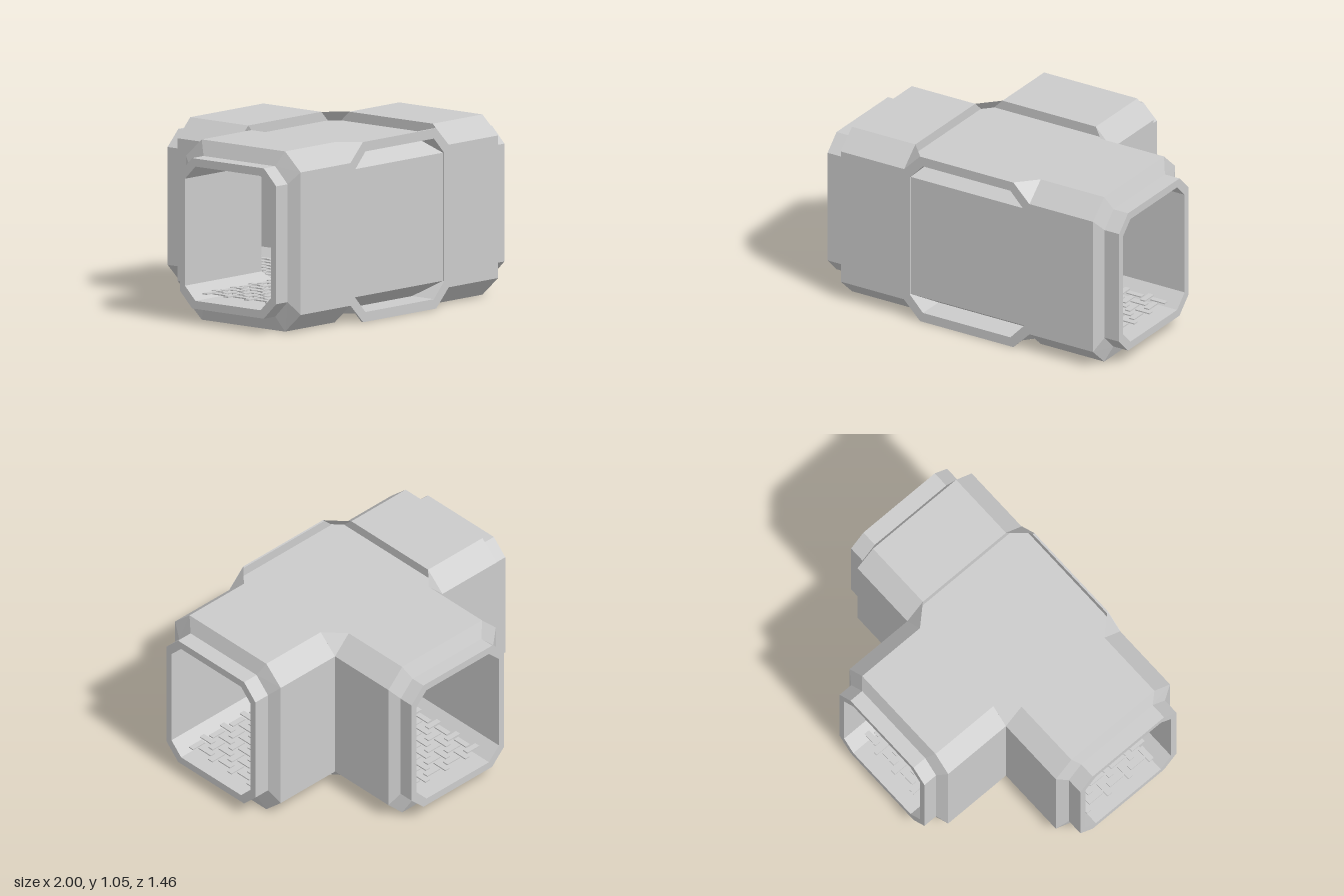
import * as THREE from 'three';
import { mergeGeometries } from 'three/addons/utils/BufferGeometryUtils.js';

const mat = new THREE.MeshStandardMaterial({ color: 0xcccccc, flatShading: true });
const thinMat = new THREE.MeshStandardMaterial({ color: 0xcccccc, flatShading: true, side: THREE.DoubleSide });
const H = 0.5275; // half height of the body, also the height of its centre
const CORE = 0.47; // half height of the sunken hub core
const LINING = 0.393; // half height of the inner passage

function mesh(name, geometry, material = mat) {
  const m = new THREE.Mesh(geometry, material);
  m.name = name;
  return m;
}

// Flat-shaded geometry from convex polygons of [x, y, z] corners
function faceted(faces) {
  const pos = [];
  for (const f of faces)
    for (let i = 1; i < f.length - 1; i++) pos.push(...f[0], ...f[i], ...f[i + 1]);
  const g = new THREE.BufferGeometry();
  g.setAttribute('position', new THREE.Float32BufferAttribute(pos, 3));
  g.computeVertexNormals();
  return g;
}

// Turn a polygon to face away from the hub centre (sign 1) or towards it (-1)
function orient(face, sign = 1) {
  const [a, b, c] = face.slice(0, 3).map((p) => new THREE.Vector3(...p));
  const n = b.clone().sub(a).cross(c.clone().sub(a));
  return n.dot(a) * sign < 0 ? [...face].reverse() : face;
}

// Chamfered rectangle as [v, u] corners
function octagon(hw, hh, cu, cv) {
  const a = hw - cu, b = hh - cv;
  return [[hh, -a], [hh, a], [b, hw], [-b, hw], [-hh, a], [-hh, -a], [-b, -hw], [b, -hw]];
}

// One corridor arm along local +x: outer shell, stepped collar, then the lining
// running back to the hub, where innerEnd(u) gives the mitre depth.
function arm(name, [root, shoulder, collar, end], hw, cu, innerEnd) {
  const rim = octagon(0.37, 0.44, 0.095, 0.095);
  const lining = octagon(0.33, LINING, 0.08, 0.08);
  const body = octagon(hw, H, cu, 0.11);
  const at = (ring, x) => ring.map(([v, u]) => [x, v, u]);
  const rings = [
    at(body, root), at(body, shoulder), at(rim, collar), at(rim, end),
    at(lining, end), lining.map(([v, u]) => [innerEnd(u), v, u]),
  ];
  const faces = [];
  for (let s = 0; s < rings.length - 1; s++)
    for (let i = 0; i < 8; i++) {
      const j = (i + 1) % 8;
      faces.push([rings[s][i], rings[s][j], rings[s + 1][j], rings[s + 1][i]]);
    }
  return mesh(name, faceted(faces));
}

// Sunken top and bottom plates, the steps up to the arms, and corner facets
function hubCore() {
  const faces = [];
  for (const sy of [1, -1]) {
    const y = sy * H, yc = sy * CORE;
    faces.push(orient(octagon(0.44, 0.43, 0.06, 0.055).map(([x, z]) => [x, yc, z])));
    // Steps at the side arms and the rear arm
    for (const x of [0.43, -0.43])
      faces.push(orient([[x, y, -0.32], [x, y, 0.32], [x, yc, 0.383], [x, yc, -0.383]], -1));
    faces.push(orient([[-0.32, y, -0.44], [0.32, y, -0.44], [0.378, yc, -0.44], [-0.378, yc, -0.44]], -1));
    // Corner facets: full height on top, cut off at the core plate below
    const k = sy > 0 ? 0 : 0.0575;
    for (const sx of [1, -1])
      for (const sz of [1, -1])
        faces.push(orient([
          [sx * 0.43, y - sy * k, sz * (0.32 + k)],
          [sx * (0.32 + k), y - sy * k, sz * 0.44],
          [sx * 0.43, sy * (H - 0.11), sz * 0.44],
        ]));
    // Piece of inner ceiling and floor between the mitred linings
    const yi = sy * LINING;
    faces.push(orient([[0, yi, 0.25], [0.25, yi, -0.25], [-0.25, yi, -0.25]], -1));
  }
  return mesh('hubCore', faceted(faces), thinMat);
}

// Thin octagonal frame on the closed front side
function frontFrame() {
  const path = (o) => o.map(([y, x]) => new THREE.Vector2(x, y));
  const shape = new THREE.Shape(path(octagon(0.43, H, 0.11, 0.11)));
  shape.holes.push(new THREE.Path(path(octagon(0.39, CORE, 0.09, 0.095)).reverse()));
  const g = new THREE.ExtrudeGeometry(shape, { depth: 0.012, bevelEnabled: false });
  g.translate(0, 0, 0.43);
  return mesh('frontFrame', g);
}

// Panel in the frame, sloping back at top and bottom between corner cheeks
function frontPanel() {
  const z = 0.432, zb = 0.275;
  const faces = [orient([[-0.39, -0.375, z], [0.39, -0.375, z], [0.39, 0.375, z], [-0.39, 0.375, z]])];
  for (const s of [1, -1]) {
    faces.push(orient([
      [-0.39, s * 0.375, z], [0.39, s * 0.375, z], [0.3, s * CORE, zb], [-0.3, s * CORE, zb],
    ]));
    for (const x of [1, -1])
      faces.push(orient([[x * 0.39, s * 0.375, z], [x * 0.3, s * CORE, z], [x * 0.3, s * CORE, zb]], -1));
  }
  return mesh('frontPanel', faceted(faces));
}

// Woven walkway bars along the main corridor and the rear branch
function floorGrating() {
  const p = 0.08, bars = [];
  for (let i = -11; i <= 11; i++)
    for (let j = -11; j <= 3; j++) {
      if (j < -3 && Math.abs(i) > 3) continue;
      const along = (i + j) % 2 === 0;
      const g = new THREE.BoxGeometry(along ? 0.1 : 0.035, 0.007, along ? 0.035 : 0.1);
      g.translate(i * p, 0.167 - H, j * p);
      bars.push(g);
    }
  return mesh('floorGrating', mergeGeometries(bars));
}

export function createModel() {
  const model = new THREE.Group();
  model.name = 'corridorJunction';
  const hub = new THREE.Group();
  hub.name = 'junction';
  hub.position.set(0, H, 0.285);
  model.add(hub);

  const side = [0.43, 0.865, 0.9, 1];
  const left = arm('leftArm', side, 0.44, 0.12, (u) => (u < 0 ? -u : 0));
  const right = arm('rightArm', side, 0.44, 0.12, (u) => (u > 0 ? u : 0));
  right.rotation.y = Math.PI;
  const back = arm('backArm', [0.44, 0.885, 0.925, 1.015], 0.43, 0.11, Math.abs);
  back.rotation.y = Math.PI / 2;

  hub.add(left, right, back, hubCore(), frontFrame(), frontPanel(), floorGrating());
  return model;
}
